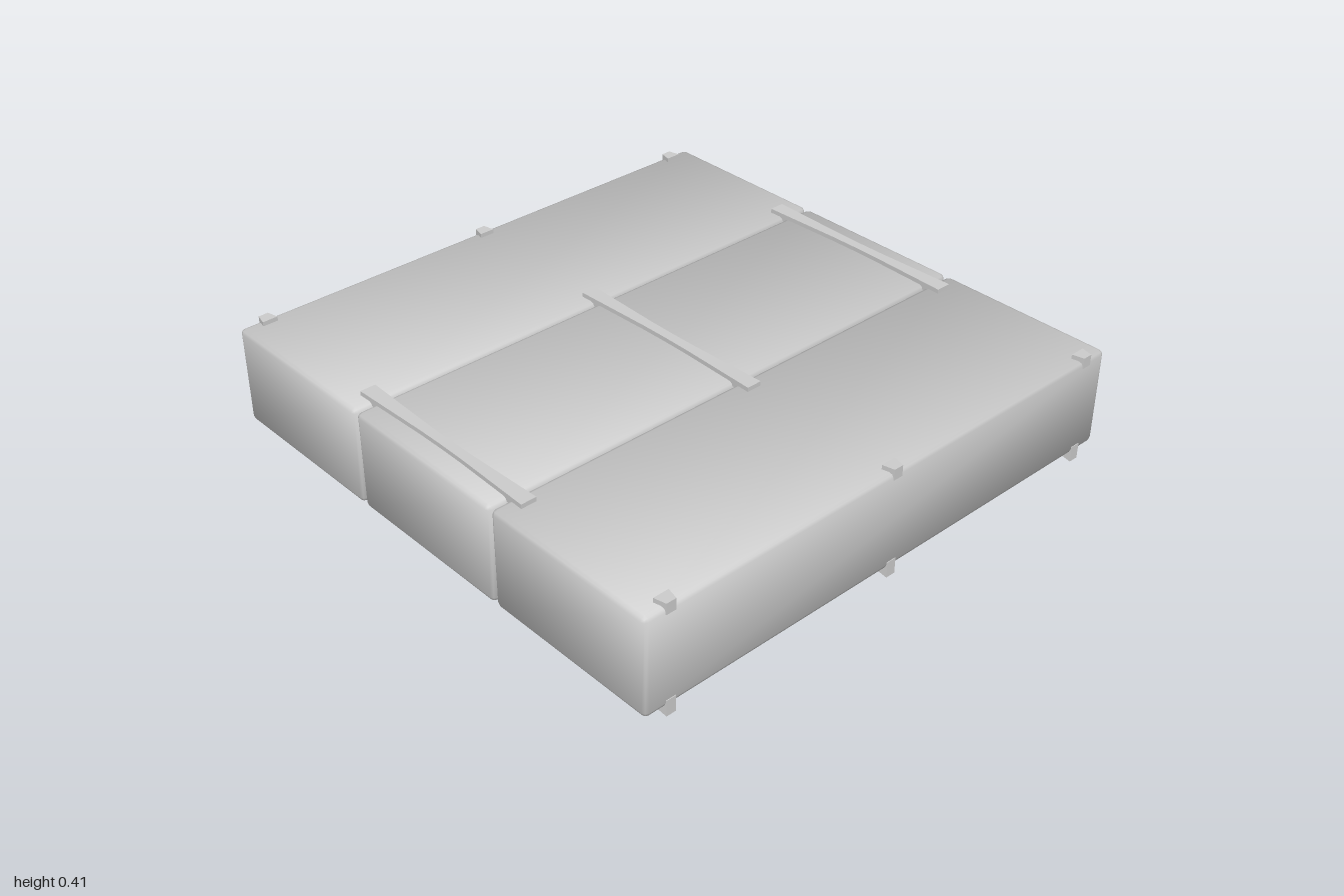
import * as THREE from 'three';

const material = new THREE.MeshStandardMaterial({ color: 0xcccccc });
const flatMaterial = new THREE.MeshStandardMaterial({ color: 0xcccccc, flatShading: true });

// Slab with softly bevelled edges and pillowy shading normals
function softSlab(w, h, d, r) {
  const half = [w / 2, h / 2, d / 2];
  const geo = new THREE.BoxGeometry(w, h, d, 3, 3, 3);
  const pos = geo.attributes.position, nor = geo.attributes.normal;
  for (let i = 0; i < pos.count; i++) {
    const p = [pos.getX(i), pos.getY(i), pos.getZ(i)];
    const out = new THREE.Vector3(), n = new THREE.Vector3(), core = new THREE.Vector3();
    p.forEach((v, k) => {
      const s = Math.sign(v), outer = Math.abs(v) > half[k] - 1e-5;
      core.setComponent(k, s * (half[k] - r));
      out.setComponent(k, outer ? s : 0);
      n.setComponent(k, outer ? s : s * 0.4);
    });
    core.addScaledVector(out.normalize(), r);
    n.normalize();
    pos.setXYZ(i, core.x, core.y, core.z);
    nor.setXYZ(i, n.x, n.y, n.z);
  }
  return geo;
}

// Bar running along z through sections of [z, half width, bottom y, top y]
function bar(sections) {
  const n = sections.length - 1;
  const geo = new THREE.BoxGeometry(1, 1, 1, 1, 1, n);
  const pos = geo.attributes.position;
  for (let i = 0; i < pos.count; i++) {
    const [z, hw, y0, y1] = sections[Math.round((pos.getZ(i) + 0.5) * n)];
    pos.setXYZ(i, Math.sign(pos.getX(i)) * hw, pos.getY(i) > 0 ? y1 : y0, z);
  }
  geo.computeVertexNormals();
  return geo;
}

export function createModel() {
  const group = new THREE.Group();
  const add = (name, geo, mat, x = 0, y = 0, z = 0) => {
    const mesh = new THREE.Mesh(geo, mat);
    mesh.name = name;
    mesh.position.set(x, y, z);
    group.add(mesh);
    return mesh;
  };

  // Three long slabs side by side
  const slab = softSlab(1.99, 0.353, 0.657, 0.016);
  ['backSlab', 'middleSlab', 'frontSlab'].forEach((name, i) =>
    add(name, slab, material, 0, 0.222, (i - 1) * 0.668));

  // Waisted straps: flat on top, sagging underneath
  const stations = [[-0.398, 0.028], [-0.25, 0.023], [-0.1, 0.018], [0, 0.017], [0.1, 0.018], [0.25, 0.023], [0.398, 0.028]];
  const topStrap = bar(stations.map(([z, w]) => [z, w, 0.385, 0.414]));
  const bottomStrap = bar(stations.map(([z, w]) => [z, w, 0.003 + 0.029 * Math.abs(z) / 0.398, 0.06]));

  // Short strap ends at the outer edges, tapering outwards
  const topEnd = bar([[0.957, 0.028, 0.375, 0.414], [0.999, 0.018, 0.375, 0.414]]);
  const bottomEnd = bar([[0.957, 0.028, 0.031, 0.07], [0.999, 0.018, 0.013, 0.07]]);

  for (const x of [-0.9, 0, 0.9]) {
    add('topStrap', topStrap, flatMaterial, x);
    add('bottomStrap', bottomStrap, flatMaterial, x);
    for (const turn of [0, Math.PI]) {
      add('topStrapEnd', topEnd, flatMaterial, x).rotation.y = turn;
      add('bottomStrapEnd', bottomEnd, flatMaterial, x).rotation.y = turn;
    }
  }
  return group;
}
